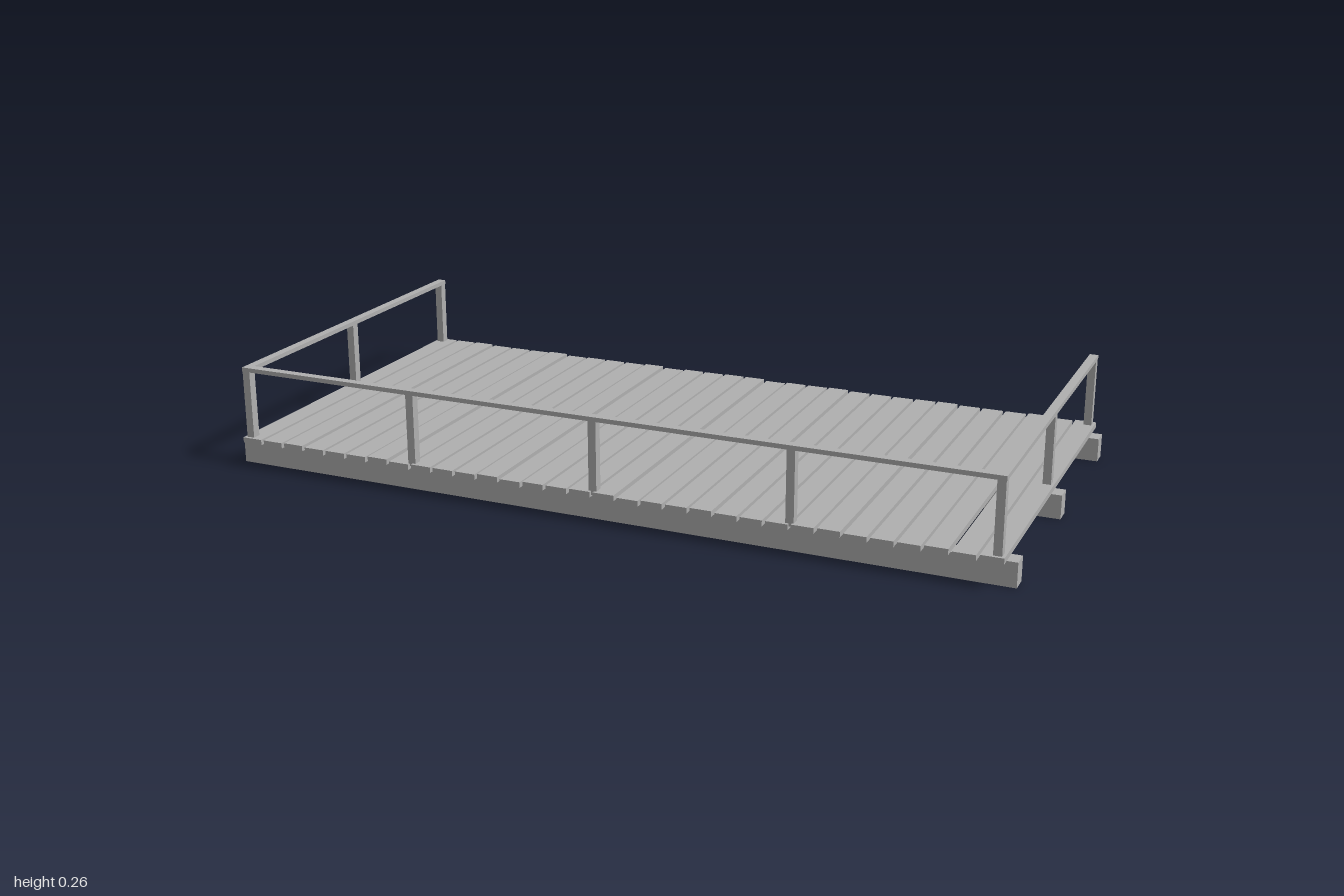
import * as THREE from 'three';

export function createModel() {
  const model = new THREE.Group();
  model.name = 'deckPlatform';
  const grey = new THREE.MeshStandardMaterial({ color: 0xb0b0b0 });
  grey.name = 'weathered grey';

  const box = (parent, name, w, h, d, x, y, z) => {
    const mesh = new THREE.Mesh(new THREE.BoxGeometry(w, h, d), grey);
    mesh.name = name;
    mesh.position.set(x, y, z);
    parent.add(mesh);
  };
  const group = (name) => {
    const g = new THREE.Group();
    g.name = name;
    model.add(g);
    return g;
  };

  // Three long bearers under the deck
  const bearers = group('bearers');
  for (const z of [-0.434, 0, 0.434]) box(bearers, 'bearer', 2, 0.06, 0.043, 0, 0.03, z);

  // Cross planks, each laid at a slightly uneven height
  const planks = group('planks');
  const count = 32, pitch = 0.0613;
  const lift = [2, 1, 3, 2, 1, 0, 3, 1];
  for (let i = 0; i < count; i++) {
    const x = (i - (count - 1) / 2) * pitch;
    const y = 0.069 + lift[(i * 3 + (i >> 3)) % lift.length] * 0.0013;
    box(planks, 'plank', 0.0535, 0.014, 0.978, x, y, 0);
  }

  // Posts along the front and both ends; the back stays open
  const posts = group('posts');
  const post = (x, z) => box(posts, 'post', 0.02, 0.182, 0.022, x, 0.161, z);
  for (const x of [-0.96, -0.488, 0, 0.488, 0.96]) post(x, 0.47);
  for (const x of [-0.96, 0.96]) for (const z of [0, -0.47]) post(x, z);

  // Handrails
  const rails = group('handrails');
  box(rails, 'frontRail', 1.942, 0.011, 0.022, 0, 0.2565, 0.47);
  for (const x of [-0.96, 0.96]) box(rails, 'endRail', 0.022, 0.011, 0.94, x, 0.2565, -0.011);

  return model;
}
